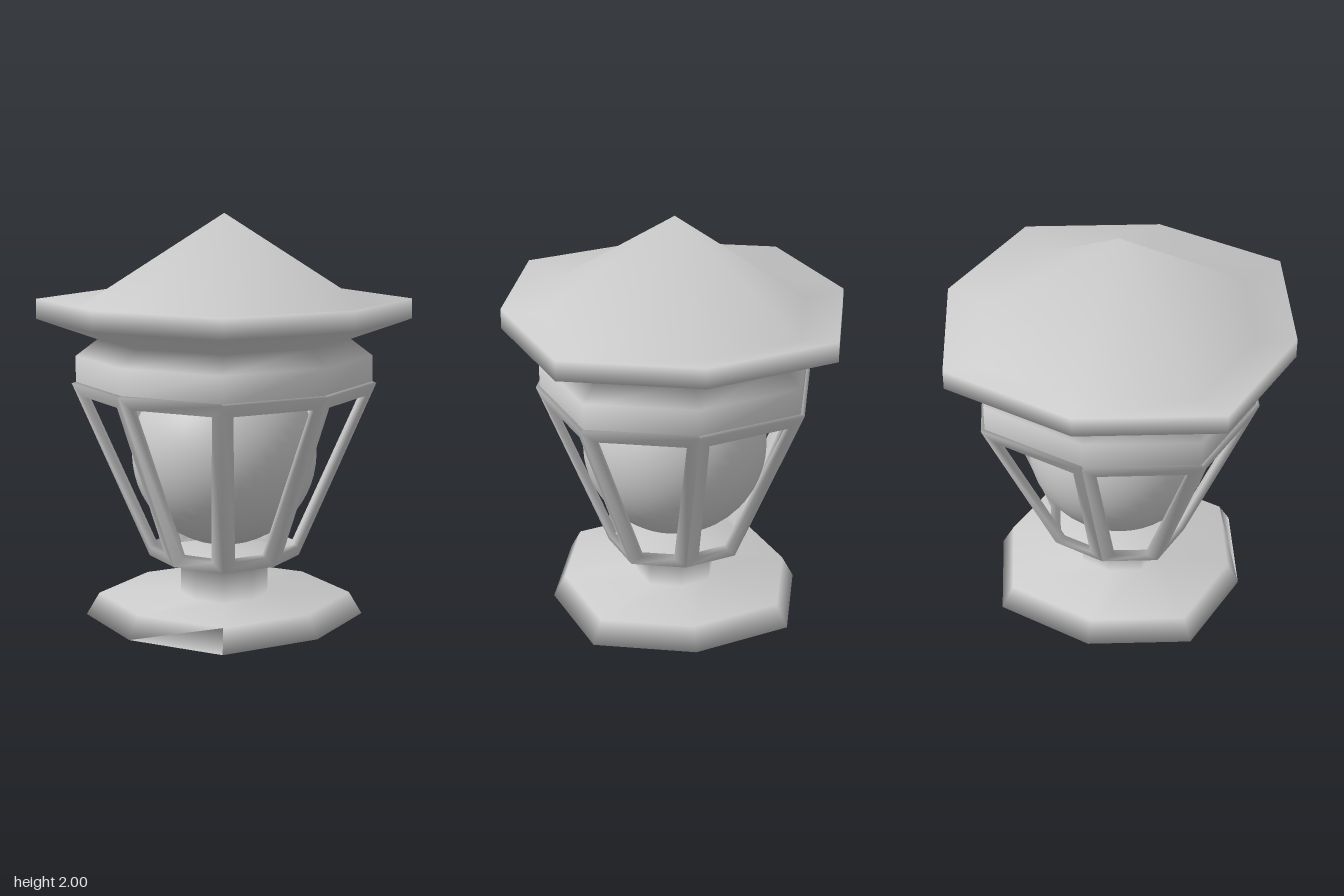
import * as THREE from 'three';
import { mergeVertices } from 'three/addons/utils/BufferGeometryUtils.js';

const material = new THREE.MeshStandardMaterial({ color: 0xcccccc });
const sheet = new THREE.MeshStandardMaterial({ color: 0xcccccc, side: THREE.DoubleSide });

// Slightly square octagon: corners on the axes and further out on the diagonals
function corner(i, r, y) {
  const a = (i * Math.PI) / 4;
  const k = i % 2 ? 1.09 : 1;
  return new THREE.Vector3(r * k * Math.cos(a), y, -r * k * 0.978 * Math.sin(a));
}

// Smooth mesh with coincident corners welded
function mesh(name, positions, index, mat = material) {
  const raw = new THREE.BufferGeometry();
  raw.setAttribute('position', new THREE.Float32BufferAttribute(positions, 3));
  raw.setIndex(index);
  const g = mergeVertices(raw);
  g.computeVertexNormals();
  const m = new THREE.Mesh(g, mat);
  m.name = name;
  return m;
}

// Skin rings of [radius, height] into an eight-sided body, with an optional flat underside
function octagonLoft(name, profile, { mat = material, underside = false } = {}) {
  const pos = [], index = [];
  profile.forEach(([r, y], j) => {
    for (let i = 0; i < 8; i++) {
      pos.push(...corner(i, r, y).toArray());
      if (j === profile.length - 1) continue;
      const a = j * 8 + i, b = j * 8 + ((i + 1) % 8);
      index.push(a, b, b + 8);
      if (profile[j + 1][0] > 0) index.push(a, b + 8, a + 8);
    }
  });
  if (underside) for (let i = 1; i < 7; i++) index.push(0, i + 1, i);
  return mesh(name, pos, index, mat);
}

// One trapezoid window frame: a four-point bar section carried round the four corners
function windowFrame(i) {
  const bottom = [0.345, 0.302], top = [0.694, 1.17];
  const outer = [
    corner(i, ...bottom), corner(i + 1, ...bottom),
    corner(i + 1, ...top), corner(i, ...top),
  ];
  const normal = outer[1].clone().sub(outer[0])
    .cross(outer[3].clone().sub(outer[0])).normalize();
  const pos = [], index = [];
  outer.forEach((p, k) => {
    // Inset along the rails and up or down the posts
    const rail = outer[[1, 0, 3, 2][k]].clone().sub(p).normalize();
    const post = outer[[3, 2, 1, 0][k]].clone().sub(p).normalize();
    const inset = p.clone().addScaledVector(rail, k < 2 ? 0.064 : 0.055).addScaledVector(post, 0.061);
    const insetBack = inset.clone().addScaledVector(normal, -0.03);
    const back = p.clone().addScaledVector(normal, -0.03).addScaledVector(rail, 0.012);
    for (const v of [p, inset, insetBack, back]) pos.push(...v.toArray());
    for (let s = 0; s < 4; s++) {
      const a = k * 4 + s, b = k * 4 + ((s + 1) % 4);
      const c = ((k + 1) % 4) * 4 + s, d = ((k + 1) % 4) * 4 + ((s + 1) % 4);
      index.push(a, c, d, a, d, b);
    }
  });
  return mesh('windowFrame', pos, index);
}

export function createModel() {
  const lantern = new THREE.Group();
  lantern.name = 'lantern';

  // Foot running smoothly into the stem and the cage floor
  lantern.add(octagonLoft('baseAndStem', [
    [0.64, 0], [0.58, 0.11], [0.2, 0.11], [0.2, 0.278], [0.325, 0.315], [0, 0.32],
  ], { underside: true }));

  // Glass cage
  const cage = new THREE.Group();
  cage.name = 'cage';
  for (let i = 0; i < 8; i++) cage.add(windowFrame(i));
  lantern.add(cage);

  // Globe
  const globe = new THREE.Mesh(new THREE.SphereGeometry(0.457, 40, 28), material);
  globe.name = 'globe';
  globe.position.y = 0.825;
  lantern.add(globe);

  // Hollow band flaring through a waist into the eaves, shallow gutter and peaked cap
  lantern.add(octagonLoft('collarAndRoof', [
    [0.675, 1.165], [0.675, 1.305], [0.575, 1.387],
    [0.85, 1.487], [0.85, 1.585], [0.66, 1.543], [0, 2],
  ], { mat: sheet }));

  return lantern;
}
